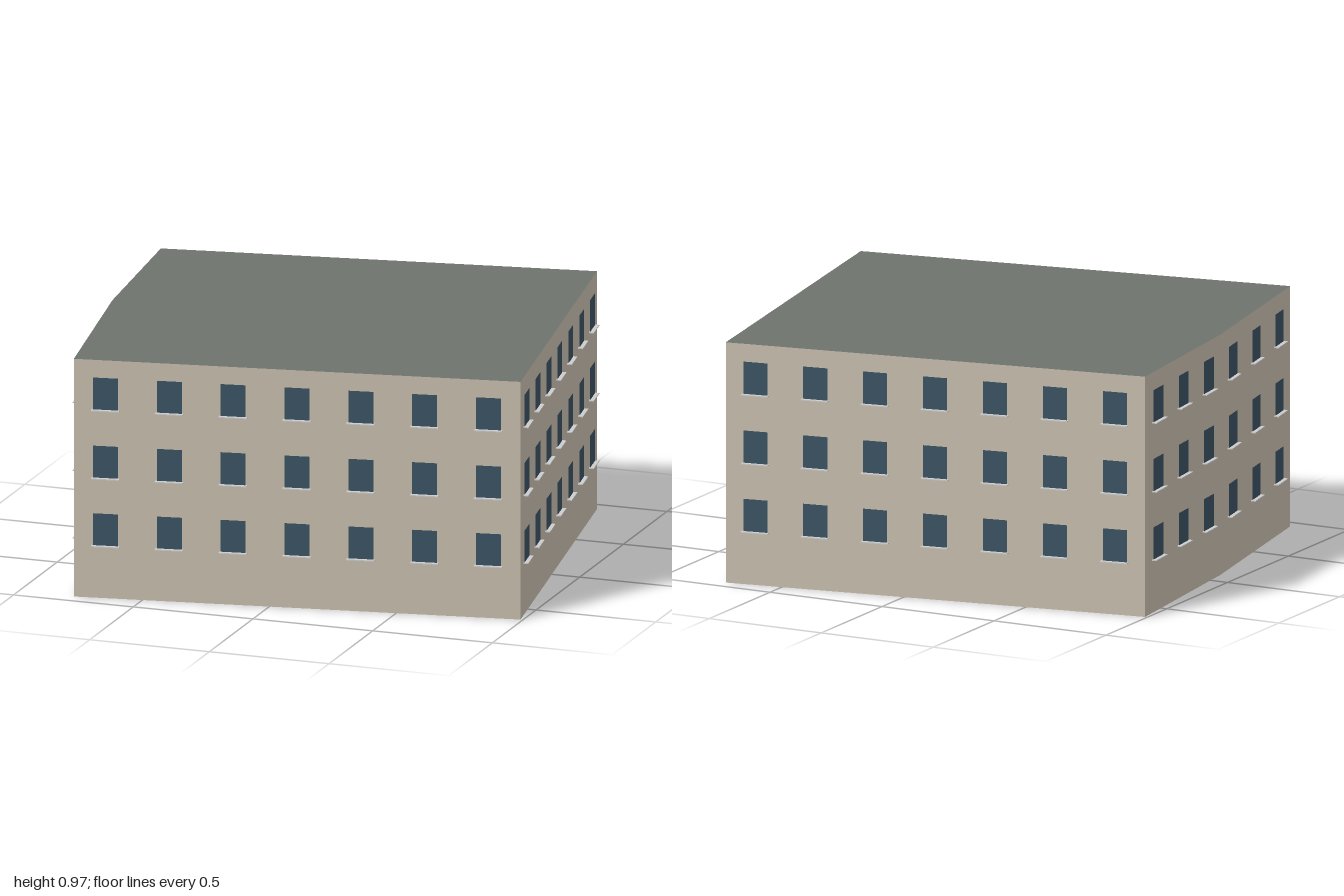
import * as THREE from 'three';

const HEIGHT = 0.97;
const WINDOW = { w: 0.1, h: 0.13 };
const ROWS = [0.28, 0.556, 0.834]; // window centre heights

// Footprint corners [x, z], and the number of window columns on the wall to the next corner
const CORNERS = [
  { x: -0.77, z: 0.94, columns: 7 },   // front wall
  { x: 0.99, z: 0.65, columns: 7 },    // left wall
  { x: 0.73, z: -0.94, columns: 7 },   // back wall
  { x: -0.99, z: -0.66, columns: 3 },  // right wall, rear part
  { x: -0.915, z: 0.1, columns: 3 },   // right wall, front part
];

const wallMaterial = new THREE.MeshStandardMaterial({ color: 0xc4bbaa });
const roofMaterial = new THREE.MeshStandardMaterial({ color: 0x6e726c });
const glassMaterial = new THREE.MeshStandardMaterial({ color: 0x385060 });
const sillMaterial = new THREE.MeshStandardMaterial({ color: 0xcccccc });

// Block with grey roof and base, and beige walls
function createBlock() {
  const shape = new THREE.Shape(CORNERS.map(c => new THREE.Vector2(c.x, -c.z)));
  const geometry = new THREE.ExtrudeGeometry(shape, { depth: HEIGHT, bevelEnabled: false });
  geometry.rotateX(-Math.PI / 2);
  const block = new THREE.Mesh(geometry, [roofMaterial, wallMaterial]);
  block.name = 'wallsAndRoof';
  return block;
}

const paneGeometry = new THREE.PlaneGeometry(WINDOW.w, WINDOW.h).translate(0, 0, 0.004);
const sillGeometry = new THREE.BoxGeometry(0.112, 0.004, 0.02)
  .translate(0, -WINDOW.h / 2 - 0.002, 0.01);

// One window: a pane just proud of the wall and a thin sill below it
function createWindow() {
  const group = new THREE.Group();
  group.name = 'window';
  const pane = new THREE.Mesh(paneGeometry, glassMaterial);
  pane.name = 'windowPane';
  const sill = new THREE.Mesh(sillGeometry, sillMaterial);
  sill.name = 'windowSill';
  group.add(pane, sill);
  return group;
}

// Rows of evenly spaced windows along the wall from a to b
function createWallWindows(a, b) {
  const group = new THREE.Group();
  group.name = 'wallWindows';
  const angle = Math.atan2(a.z - b.z, b.x - a.x);
  for (let i = 0; i < a.columns; i++) {
    const t = (i + 0.5) / a.columns;
    for (const y of ROWS) {
      const win = createWindow();
      win.position.set(a.x + (b.x - a.x) * t, y, a.z + (b.z - a.z) * t);
      win.rotation.y = angle;
      group.add(win);
    }
  }
  return group;
}

export function createModel() {
  const model = new THREE.Group();
  model.name = 'building';
  model.add(createBlock());
  CORNERS.forEach((corner, i) => {
    model.add(createWallWindows(corner, CORNERS[(i + 1) % CORNERS.length]));
  });
  return model;
}
